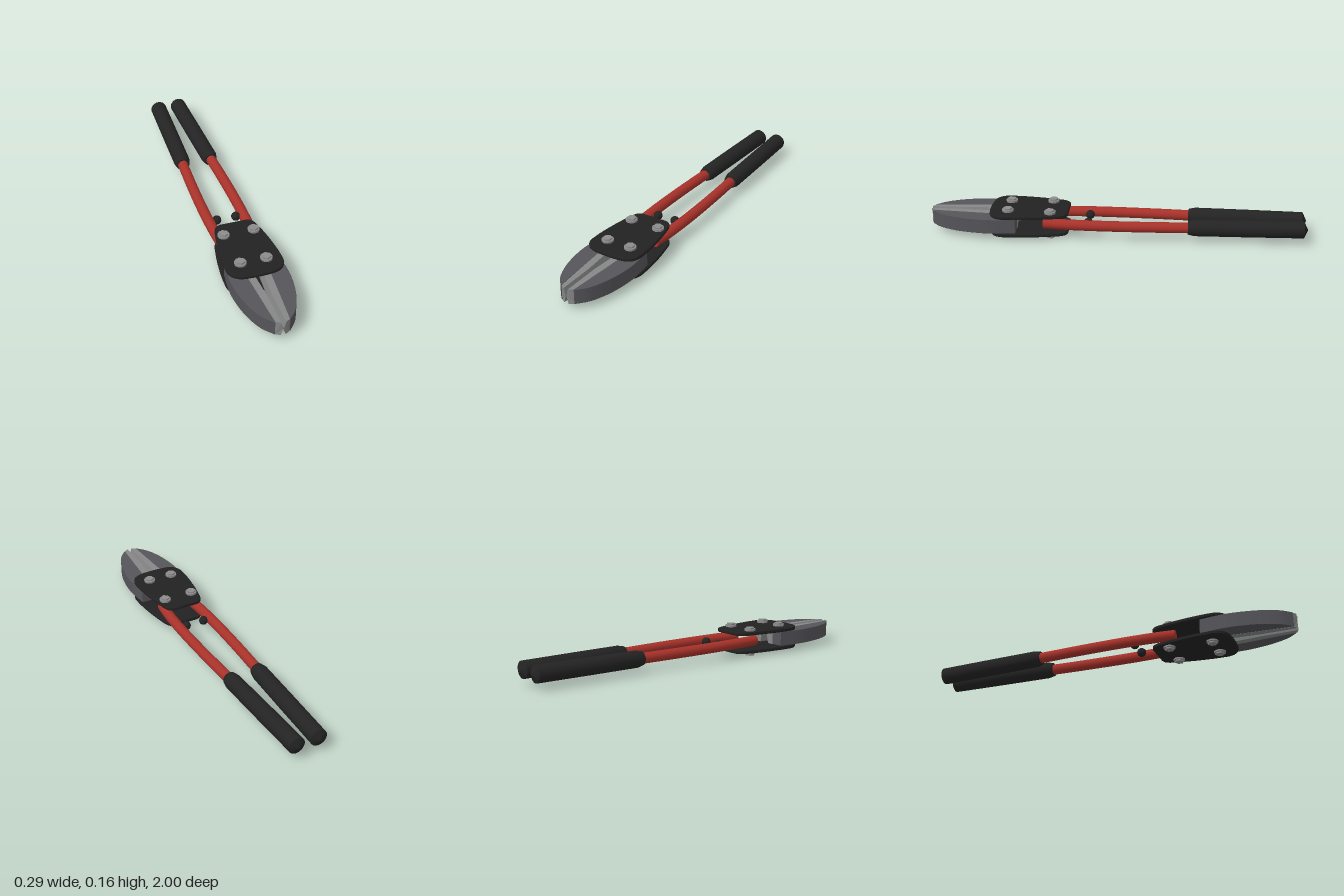
import * as THREE from 'three';
import { toCreasedNormals } from 'three/addons/utils/BufferGeometryUtils.js';

const mat = (name, color) => {
  const m = new THREE.MeshStandardMaterial({ color });
  m.name = name;
  return m;
};

// Horizontal slab: shape is drawn in (x, z), its upper face lies at `top`
function slab(shape, top, thick, bevel) {
  const geo = new THREE.ExtrudeGeometry(shape, {
    depth: thick - 2 * bevel, bevelEnabled: true, bevelThickness: bevel,
    bevelSize: bevel, bevelOffset: -bevel, bevelSegments: 1, curveSegments: 10,
  });
  geo.rotateX(Math.PI / 2);
  geo.translate(0, top - bevel, 0);
  return toCreasedNormals(geo, 0.5);
}

// Flat-shaded solid through rings of equal length, with fan caps; flip for the mirrored side
function loft(rings, flip) {
  const n = rings[0].length, index = [];
  const tri = (a, b, c) => (flip ? index.push(a, c, b) : index.push(a, b, c));
  for (let r = 0; r < rings.length - 1; r++) {
    for (let i = 0; i < n; i++) {
      const a = r * n + i, b = r * n + (i + 1) % n;
      tri(a, b, b + n);
      tri(a, b + n, a + n);
    }
  }
  const last = (rings.length - 1) * n;
  for (let i = 1; i < n - 1; i++) {
    tri(0, i + 1, i);
    tri(last, last + i, last + i + 1);
  }
  const geo = new THREE.BufferGeometry();
  geo.setAttribute('position', new THREE.Float32BufferAttribute(rings.flat(2), 3));
  geo.setIndex(index);
  const flat = geo.toNonIndexed();
  flat.computeVertexNormals();
  return flat;
}

export function createModel() {
  const model = new THREE.Group();
  const red = mat('red paint', 0xa8322a);
  const rubber = mat('black rubber', 0x232323);
  const plateBlack = mat('black plate', 0x222222);
  const steel = mat('dark steel', 0x55555a);
  const edgeSteel = mat('ground steel', 0x858786);
  const boltSteel = mat('bolt steel', 0x8c8c8c);
  const add = (parent, name, geo, material) => {
    const mesh = new THREE.Mesh(geo, material);
    mesh.name = name;
    parent.add(mesh);
    return mesh;
  };
  const MID = 0.077, JAW_TOP = 0.1155, JAW_BOTTOM = 0.0365;

  // Side plates above and below the joint
  const outline = new THREE.Shape();
  outline.moveTo(-0.07, 0.257);
  outline.lineTo(0.07, 0.257);
  outline.quadraticCurveTo(0.107, 0.262, 0.115, 0.32);
  outline.quadraticCurveTo(0.138, 0.42, 0.146, 0.54);
  outline.lineTo(0.147, 0.595);
  outline.quadraticCurveTo(0.143, 0.655, 0.085, 0.67);
  outline.quadraticCurveTo(0, 0.682, -0.085, 0.67);
  outline.quadraticCurveTo(-0.143, 0.655, -0.147, 0.595);
  outline.lineTo(-0.146, 0.54);
  outline.quadraticCurveTo(-0.138, 0.42, -0.115, 0.32);
  outline.quadraticCurveTo(-0.107, 0.262, -0.07, 0.257);
  add(model, 'upperPlate', slab(outline, 0.136, 0.02, 0.004), plateBlack);
  add(model, 'lowerPlate', slab(outline, 0.036, 0.02, 0.004), plateBlack);

  for (const s of [1, -1]) {
    const side = new THREE.Group();
    side.name = s > 0 ? 'leftHalf' : 'rightHalf';
    model.add(side);

    // Jaw body with a curved outer edge
    const jaw = new THREE.Shape();
    jaw.moveTo(s * 0.068, 0.53);
    jaw.lineTo(s * 0.135, 0.53);
    jaw.splineThru([[0.147, 0.65], [0.142, 0.74], [0.122, 0.84], [0.085, 0.93], [0.037, 0.987]]
      .map(([x, z]) => new THREE.Vector2(s * x, z)));
    jaw.lineTo(s * 0.058, 0.67);
    add(side, 'jaw', slab(jaw, JAW_TOP, JAW_TOP - JAW_BOTTOM, 0.0015), steel);

    // Ground cutting edge: z, body side x, edge x, inner z
    const rings = [
      [0.53, 0.068, 0.022, 0.53], [0.67, 0.058, 0.011, 0.67],
      [0.8, 0.049, 0.002, 0.8], [0.985, 0.035, 0.002, 0.999],
    ].map(([z, xo, xi, zi]) => [
      [s * xo, JAW_BOTTOM, z], [s * xo, JAW_TOP, z], [s * (xi + 0.01), JAW_TOP, zi],
      [s * xi, MID, zi], [s * (xi + 0.01), JAW_BOTTOM, zi],
    ]);
    add(side, 'cuttingEdge', loft(rings, s < 0), edgeSteel);

    // Bowed handle tube, closed at the joint end
    const path = new THREE.CatmullRomCurve3(
      [[0.08, 0.385], [0.09, 0.28], [0.095, 0.14], [0.095, 0], [0.09, -0.2], [0.081, -0.4]]
        .map(([x, z]) => new THREE.Vector3(s * x, MID + 0.001, z)));
    add(side, 'handle', new THREE.TubeGeometry(path, 28, 0.028, 16), red);
    const cap = add(side, 'handleEnd', new THREE.CircleGeometry(0.028, 16), red);
    cap.position.copy(path.getPoint(0));
    cap.lookAt(cap.position.clone().sub(path.getTangent(0)));

    // Rubber grip
    const profile = [[0, 0], [0.036, 0], [0.038, 0.008], [0.044, 0.035], [0.045, 0.3], [0.045, 0.603], [0, 0.625]]
      .map(([r, y]) => new THREE.Vector2(r, y));
    const gripGeo = new THREE.LatheGeometry(profile, 20).rotateX(-Math.PI / 2);
    const grip = add(side, 'grip', toCreasedNormals(gripGeo, 0.5), rubber);
    grip.position.set(s * 0.08, MID + 0.001, -0.375);
    grip.rotation.y = s * 0.033;

    // Stop bumper inside the handle
    add(side, 'bumper', new THREE.SphereGeometry(0.024, 16, 12), rubber)
      .position.set(s * 0.052, MID + 0.001, 0.15);

    // Bolts: washer and hex on both faces
    for (const [x, z] of [[0.08, 0.35], [0.067, 0.575]]) {
      for (const [name, r, h, y, n] of [
        ['washer', 0.031, 0.011, 0.1415, 12], ['boltHead', 0.024, 0.008, 0.151, 6],
        ['washer', 0.031, 0.008, 0.012, 12], ['nut', 0.024, 0.008, 0.004, 6],
      ]) {
        const geo = toCreasedNormals(new THREE.CylinderGeometry(r, r, h, n), 0.3);
        add(side, name, geo, boltSteel).position.set(s * x, y, z);
      }
    }
  }
  return model;
}
